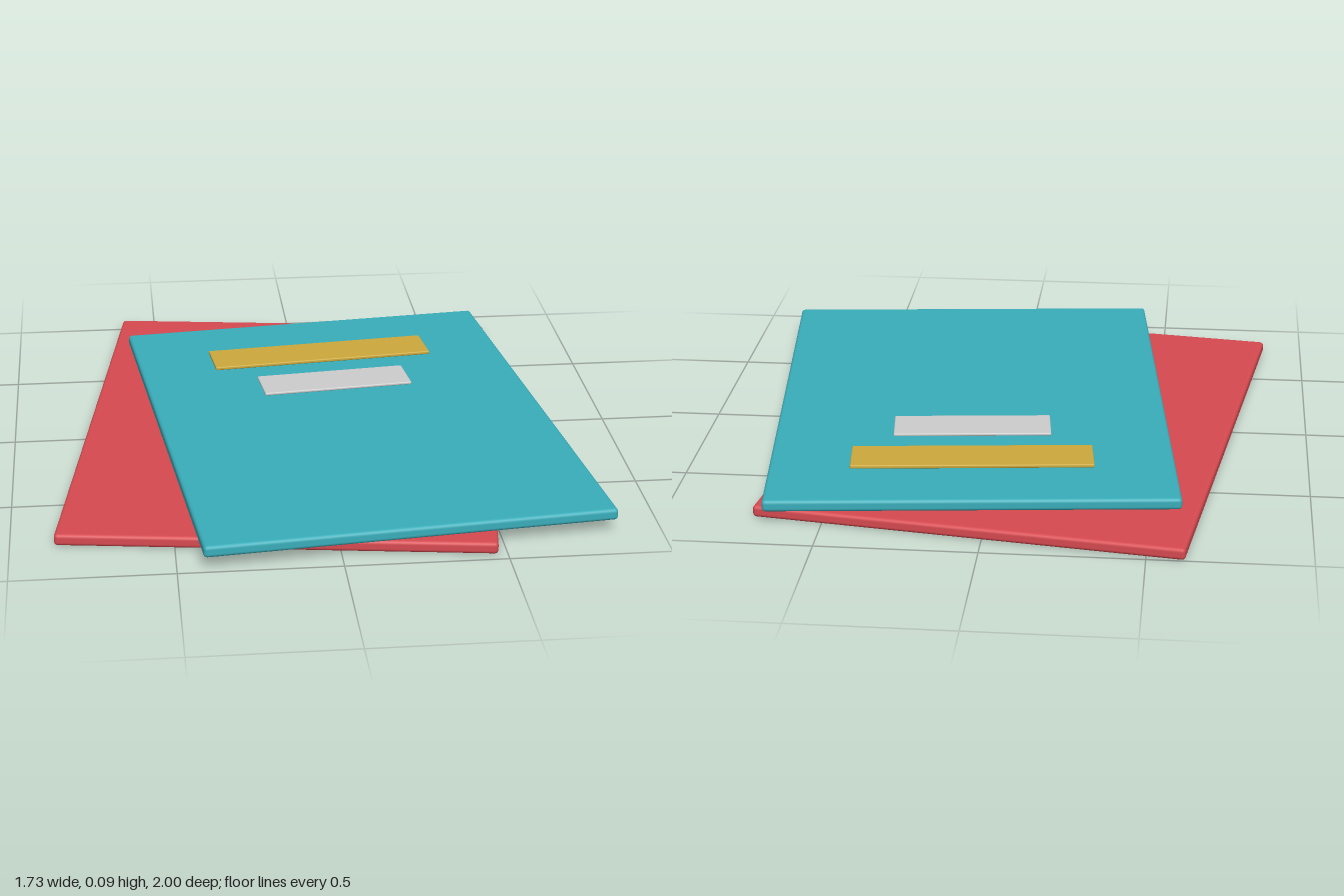
import * as THREE from 'three';
import { RoundedBoxGeometry } from 'three/addons/geometries/RoundedBoxGeometry.js';

const mat = (name, color) => {
  const m = new THREE.MeshStandardMaterial({ color });
  m.name = name;
  return m;
};

// A thin slab with softly rounded edges, standing on height y
function slab(name, material, w, h, d, radius, x, y, z) {
  const mesh = new THREE.Mesh(new RoundedBoxGeometry(w, h, d, 3, radius), material);
  mesh.name = name;
  mesh.position.set(x, y + h / 2, z);
  return mesh;
}

export function createModel() {
  const red = mat('red cover', 0xd64a50);
  const teal = mat('teal cover', 0x39adb9);
  const gold = mat('gold label', 0xcca93c);
  const silver = mat('silver label', 0xcccccc);

  const model = new THREE.Group();
  model.name = 'folders';

  // Lower folder, turned clockwise
  const lower = new THREE.Group();
  lower.name = 'lowerFolder';
  lower.position.set(-0.073, 0, -0.015);
  lower.rotation.y = -0.139;
  lower.add(slab('lowerCover', red, 1.35, 0.038, 1.804, 0.012, 0, 0, 0));

  // Upper folder, turned the other way, with its two labels
  const upper = new THREE.Group();
  upper.name = 'upperFolder';
  upper.position.set(0.13, 0.043, 0.063);
  upper.rotation.y = 0.105;
  upper.add(
    slab('upperCover', teal, 1.288, 0.038, 1.742, 0.012, 0, 0, 0),
    slab('titleLabel', gold, 0.772, 0.012, 0.16, 0.004, 0, 0.038, -0.55),
    slab('subtitleLabel', silver, 0.514, 0.01, 0.156, 0.004, 0, 0.038, -0.291)
  );

  model.add(lower, upper);
  return model;
}
